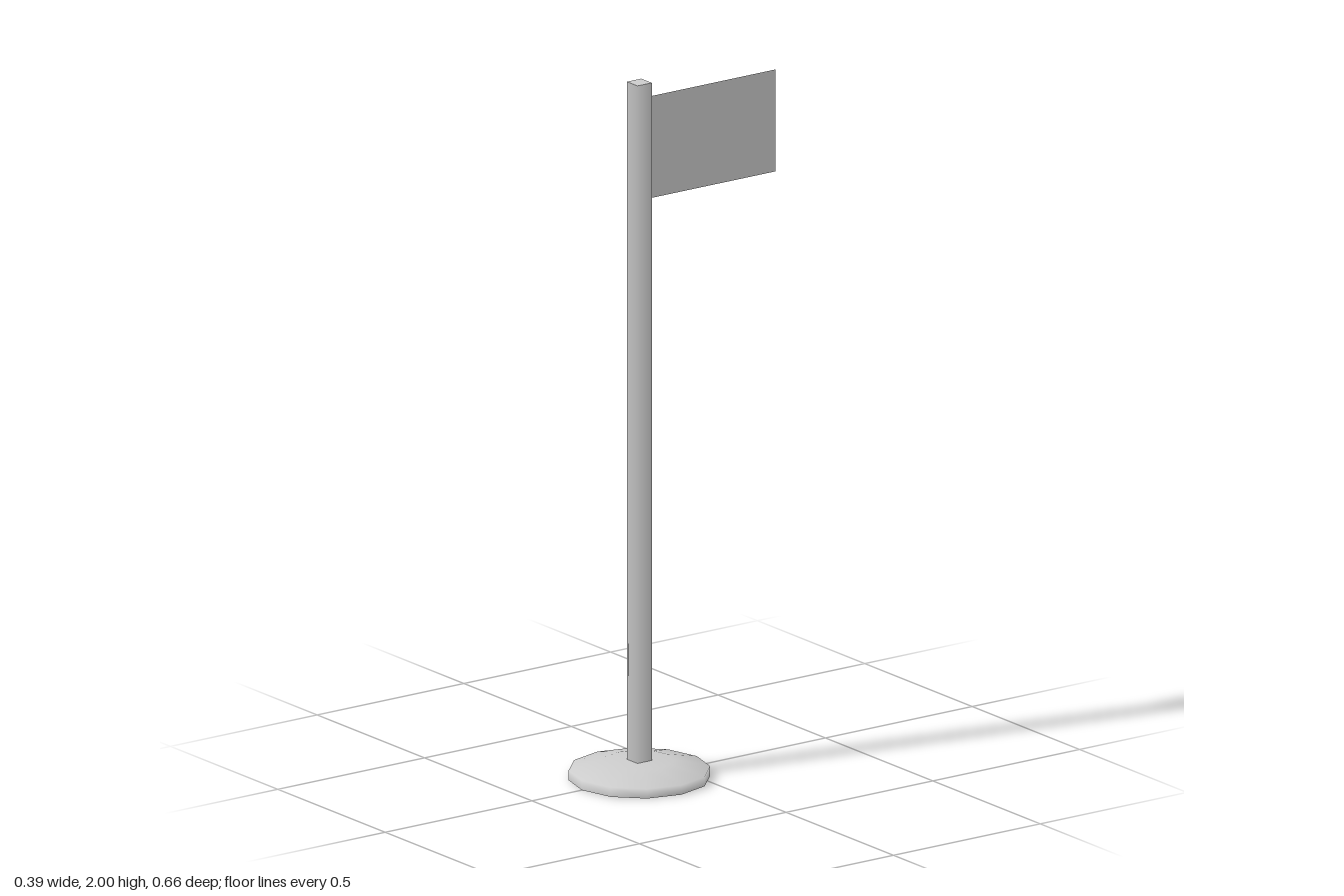
import * as THREE from 'three';

const POLE_Z = 0.134;

export function createModel() {
  const group = new THREE.Group();
  const grey = new THREE.MeshStandardMaterial({ color: 0xcccccc });
  const thin = new THREE.MeshStandardMaterial({ color: 0xcccccc, side: THREE.DoubleSide });

  const add = (name, geometry, material, x, y, z) => {
    const mesh = new THREE.Mesh(geometry, material);
    mesh.name = name;
    mesh.position.set(x, y, z);
    group.add(mesh);
    return mesh;
  };

  // Twelve-sided domed foot with a short rim
  const profile = [[0.196, 0], [0.196, 0.027], [0.095, 0.051], [0, 0.052]]
    .map(([r, y]) => new THREE.Vector2(r, y));
  add('base', new THREE.LatheGeometry(profile, 12), grey, 0, 0, POLE_Z);

  // Flat underside of the foot
  add('baseUnderside', new THREE.CircleGeometry(0.196, 12).rotateX(Math.PI / 2), grey, 0, 0, POLE_Z);

  // Square pole, softly shaded around its sides
  const bottom = 0.04, top = 2, radius = 0.0245 * Math.SQRT2;
  add('pole', new THREE.CylinderGeometry(radius, radius, top - bottom, 4, 1, false, Math.PI / 4),
    grey, 0, (top + bottom) / 2, POLE_Z);

  // Thin flat flag reaching backwards from the pole
  const front = 0.115, back = -0.33, low = 1.66, high = 1.953;
  add('flag', new THREE.PlaneGeometry(front - back, high - low).rotateY(Math.PI / 2),
    thin, 0, (low + high) / 2, (front + back) / 2);

  return group;
}
